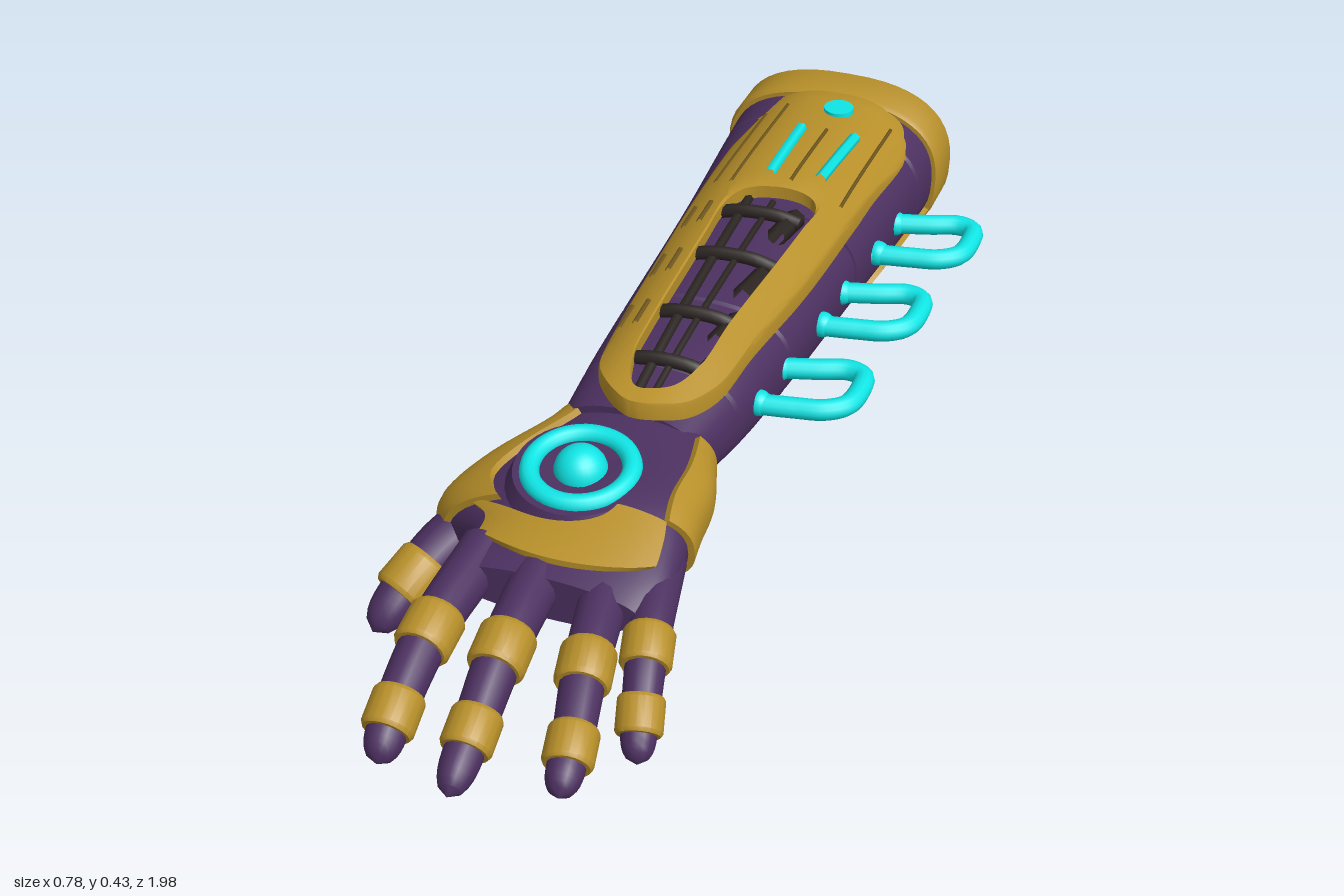
import * as THREE from 'three';
import { toCreasedNormals } from 'three/addons/utils/BufferGeometryUtils.js';

const V = (x, y, z) => new THREE.Vector3(x, y, z);
const mat = (color) => new THREE.MeshStandardMaterial({ color, side: THREE.DoubleSide });
const TAU = Math.PI * 2;

// Smoothly interpolates rows of numbers keyed by their first entry
function sample(rows, k) {
  const n = rows.length;
  let i = 0;
  while (i < n - 2 && k > rows[i + 1][0]) i++;
  const a = rows[i], b = rows[i + 1], h = b[0] - a[0];
  const p = rows[Math.max(i - 1, 0)], q = rows[Math.min(i + 2, n - 1)];
  const t = Math.min(Math.max((k - a[0]) / h, 0), 1), t2 = t * t, t3 = t2 * t;
  return a.map((v, c) => {
    const m0 = (b[c] - p[c]) / (b[0] - p[0]) * h, m1 = (q[c] - v) / (q[0] - a[0]) * h;
    return (2 * t3 - 3 * t2 + 1) * v + (t3 - 2 * t2 + t) * m0 + (3 * t2 - 2 * t3) * b[c] + (t3 - t2) * m1;
  });
}

// Skins a list of equal-length point rows
function loft(rows, closed = true, crease = 0.6) {
  const m = rows[0].length, pos = [], idx = [];
  rows.forEach((r) => r.forEach((p) => pos.push(p.x, p.y, p.z)));
  for (let i = 0; i < rows.length - 1; i++) {
    for (let j = 0; j < (closed ? m : m - 1); j++) {
      const k = (j + 1) % m, a = i * m + j, b = i * m + k;
      idx.push(a, b, a + m, b, b + m, a + m);
    }
  }
  const g = new THREE.BufferGeometry();
  g.setAttribute('position', new THREE.Float32BufferAttribute(pos, 3));
  g.setIndex(idx);
  return toCreasedNormals(g, crease);
}

// Sleeve sections: z, centre x, half width, centre y, half height
const SLEEVE = [[-0.985, 0.022, 0.217, 0.257, 0.15], [-0.88, 0.02, 0.218, 0.256, 0.148],
  [-0.5, 0.012, 0.193, 0.25, 0.128], [0, -0.002, 0.163, 0.25, 0.106], [0.2, -0.018, 0.138, 0.243, 0.09]];
function sleevePoint(z, a, off = 0, scale = 1) {
  const [, cx, hx, cy, hy] = sample(SLEEVE, z), c = Math.cos(a), s = Math.sin(a);
  const pw = (v) => Math.sign(v) * Math.abs(v) ** 0.8;
  return V(cx + (hx * scale + off) * pw(c), cy + (hy * scale + off) * pw(s), z);
}

// Hand sections: z, left x, right x, left y, right y, rise, drop
const HAND = [[0.12, -0.15, 0.115, 0.235, 0.25, 0.08, 0.08], [0.2, -0.175, 0.14, 0.225, 0.245, 0.088, 0.085],
  [0.28, -0.265, 0.165, 0.17, 0.24, 0.105, 0.1], [0.36, -0.31, 0.172, 0.135, 0.235, 0.118, 0.095],
  [0.41, -0.285, 0.178, 0.14, 0.23, 0.115, 0.08], [0.47, -0.21, 0.185, 0.185, 0.225, 0.087, 0.07],
  [0.54, -0.198, 0.188, 0.205, 0.215, 0.065, 0.055], [0.6, -0.188, 0.16, 0.215, 0.212, 0.045, 0.042]];
function handPoint(z, a, off = 0, scale = 1) {
  const [, xl, xr, yl, yr, up, dn] = sample(HAND, z), c = Math.cos(a) * scale, s = Math.sin(a);
  const h = ((s > 0 ? up : dn) + off) * Math.abs(s) ** 0.8 * Math.sign(s) * scale;
  return V((xl + xr) / 2 + ((xr - xl) / 2 + off) * c, (yl + yr) / 2 + (yr - yl) / 2 * c + h, z);
}

const ring = (fn, n, ...args) => Array.from({ length: n }, (_, j) => fn(args[0], j / n * TAU, args[1], args[2]));

// Armour patch laid over a body surface, with edges dropping into it
function patch(fn, a0, a1, zRange, off, na = 40, nz = 16) {
  const rows = [];
  for (let i = -1; i <= nz + 1; i++) {
    const row = [];
    for (let j = -1; j <= na + 1; j++) {
      const u = Math.min(Math.max(j / na, 0), 1), v = Math.min(Math.max(i / nz, 0), 1);
      const a = a0 + (a1 - a0) * u, [z0, z1] = zRange(a, u);
      const edge = i < 0 || j < 0 || i > nz || j > na;
      row.push(fn(z0 + (z1 - z0) * v, a, edge ? -0.006 : off));
    }
    rows.push(row);
  }
  return loft(rows, false);
}

// Upper plate sections: z, crest y, centre x, half width, edge drop
const PLATE = [[-0.9, 0.42, 0.03, 0.175, 0.075], [-0.5, 0.43, 0.022, 0.163, 0.07],
  [0, 0.4, 0.005, 0.13, 0.05], [0.22, 0.366, -0.01, 0.11, 0.03]];
function plateY(x, z) {
  const [, top, cx, hw, drop] = sample(PLATE, z);
  return top - drop * Math.abs((x - cx) / hw) ** 2.5;
}

// Tapered round limb along a curve
function limb(curve, radiusAt, n = 26) {
  const rows = [];
  for (let i = 0; i <= n; i++) {
    const t = i / n, p = curve.getPoint(t), T = curve.getTangent(t);
    const S = V(0, 1, 0).cross(T).normalize(), N = T.clone().cross(S), r = radiusAt(t);
    rows.push(Array.from({ length: 16 }, (_, j) => p.clone()
      .addScaledVector(S, Math.cos(j / 16 * TAU) * r).addScaledVector(N, Math.sin(j / 16 * TAU) * r)));
  }
  return loft(rows);
}

export function createModel() {
  const model = new THREE.Group();
  const purple = mat(0x4c3060), gold = mat(0xb8902a), cyan = mat(0x10e6e6), dark = mat(0x2c2522), groove = mat(0x6e561c);
  const add = (name, geo, m, parent = model) => {
    const mesh = new THREE.Mesh(geo, m);
    mesh.name = name;
    parent.add(mesh);
    return mesh;
  };

  // Hollow sleeve with shallow seams
  const rows = [ring(sleevePoint, 48, -0.76, 0, 0), ring(sleevePoint, 48, -0.76, 0, 0.78),
    ring(sleevePoint, 48, -0.9, 0, 0.8), ring(sleevePoint, 48, -0.9, 0, 0.88), ring(sleevePoint, 48, -0.985, 0, 0.93)];
  for (let z = -0.985; z < 0.2; z += 0.0395) rows.push(ring(sleevePoint, 48, z));
  for (const s of [-0.8, -0.47, -0.14, 0.07]) {
    rows.push(ring(sleevePoint, 48, s - 0.006), ring(sleevePoint, 48, s, -0.005), ring(sleevePoint, 48, s + 0.006));
  }
  const outer = rows.splice(5).sort((a, b) => a[0].z - b[0].z);
  add('sleeve', loft([...rows, ...outer, ring(sleevePoint, 48, 0.2, 0, 0)]), purple);

  // Cuff band at the open end
  const cuff = [[-0.975, -0.004], [-0.98, 0.008], [-0.97, 0.013], [-0.89, 0.013], [-0.88, 0.008], [-0.88, -0.004]];
  add('cuff', loft(cuff.map(([z, o]) => ring(sleevePoint, 48, z, o))), gold);

  // Underside plate, rounded at its front end
  add('undersidePlate', patch(sleevePoint, Math.PI * 1.12, Math.PI * 1.88,
    (a, u) => [-0.89, -0.5 - 0.14 * Math.abs(2 * u - 1) ** 4], 0.01), gold);

  // Upper plate: skin from the outer outline to the window outline
  const outline = [[0.115, 0.1], [0.135, -0.05], [0.165, -0.3], [0.185, -0.6], [0.2, -0.82], [0.17, -0.89], [0.03, -0.897],
    [-0.11, -0.885], [-0.138, -0.8], [-0.14, -0.5], [-0.132, -0.25], [-0.122, 0], [-0.1, 0.13], [-0.01, 0.215], [0.07, 0.185]];
  const windowEdge = [[0.075, 0.08], [0.085, -0.05], [0.105, -0.25], [0.115, -0.37], [0.12, -0.45], [0.105, -0.475], [0.03, -0.475],
    [-0.03, -0.45], [-0.05, -0.4], [-0.05, -0.3], [-0.05, -0.2], [-0.05, 0], [-0.045, 0.1], [-0.01, 0.175], [0.045, 0.155]];
  const [oc, wc] = [outline, windowEdge].map((o) => new THREE.CatmullRomCurve3(o.map(([x, z]) => V(x, 0, z)), true));
  const plateRow = (f, dy) => Array.from({ length: 120 }, (_, j) => {
    const p = oc.getPoint(j / 120).lerp(wc.getPoint(j / 120), f);
    return p.setY(plateY(p.x, p.z) + dy);
  });
  const plateRows = [plateRow(0, -0.035), plateRow(0, -0.006)];
  for (let i = 0; i <= 12; i++) plateRows.push(plateRow(0.04 + 0.92 * i / 12, 0));
  plateRows.push(plateRow(1, -0.004), plateRow(1, -0.03), plateRow(0, -0.035));
  add('upperPlate', loft(plateRows), gold);

  // Inlays that follow the plate
  const strip = (name, x0, z0, x1, z1, r, m, dy = 0) => {
    const pts = Array.from({ length: 5 }, (_, i) => {
      const x = x0 + (x1 - x0) * i / 4, z = z0 + (z1 - z0) * i / 4;
      return V(x, plateY(x, z) + dy, z);
    });
    add(name, new THREE.TubeGeometry(new THREE.CatmullRomCurve3(pts), 10, r, 6), m);
  };
  strip('lightStrip', 0.005, -0.71, 0.005, -0.51, 0.012, cyan);
  strip('lightStrip', 0.112, -0.73, 0.1, -0.54, 0.012, cyan);
  for (const [x, z0, z1] of [[-0.1, -0.8, -0.5], [-0.06, -0.82, -0.48], [0.055, -0.72, -0.5], [0.158, -0.83, -0.5]]) {
    strip('plateGroove', x, z0, x - 0.004, z1, 0.004, groove);
  }
  for (const z of [-0.37, -0.2, -0.03]) {
    for (const x of [-0.11, -0.078]) strip('plateSlot', x, z - 0.035, x, z + 0.035, 0.006, groove);
  }
  add('plateLight', new THREE.CylinderGeometry(0.03, 0.03, 0.012, 24), cyan).position.set(0.052, plateY(0.052, -0.81) + 0.002, -0.81);

  // Dark ribs and rails inside the window
  for (const z of [-0.4, -0.25, -0.06, 0.08]) strip('windowRib', -0.06, z, 0.1, z - 0.01, 0.013, dark, -0.022);
  strip('windowRail', -0.02, -0.46, -0.015, 0.15, 0.01, dark, -0.03);
  strip('windowRail', 0.03, -0.46, 0.015, 0.15, 0.007, dark, -0.03);
  for (const z of [-0.4, -0.2, -0.06, 0.07]) strip('windowBlock', 0.085, z - 0.04, 0.07, z + 0.04, 0.02, dark, -0.035);

  // Side loops
  for (const [x, z] of [[0.22, -0.69], [0.195, -0.41], [0.165, -0.125]]) {
    const path = [[-0.03, 0.008], [0.06, -0.018], [0.12, -0.037], [0.15, -0.025], [0.157, 0.02], [0.148, 0.072], [0.115, 0.1], [0.06, 0.113], [-0.03, 0.128]];
    const curve = new THREE.CatmullRomCurve3(path.map(([dx, dz]) => V(x + dx, 0.257, z + dz)));
    add('sideLoop', new THREE.TubeGeometry(curve, 48, 0.02, 12), cyan);
    for (const dz of [0, 0.12]) add('loopSocket', new THREE.SphereGeometry(0.025, 16, 12), cyan).position.set(x - 0.005, 0.257, z + dz);
  }

  // Palm
  const palm = [];
  for (let i = 0; i <= 32; i++) palm.push(ring(handPoint, 48, 0.12 + 0.48 * i / 32));
  palm.push(ring(handPoint, 48, 0.6, 0, 0.7), ring(handPoint, 48, 0.6, 0, 0));
  add('palm', loft(palm), purple);

  // Palm guard around the underside and sides, and the knuckle guard
  add('palmGuard', patch(handPoint, Math.PI * 0.69, Math.PI * 2.2,
    (a, u) => [0.165 + 0.03 * u, 0.43 - 0.02 * Math.sin(u * Math.PI)], 0.012, 64), gold);
  add('knuckleGuard', patch(handPoint, Math.PI * 0.21, Math.PI * 0.79, (a, u) => {
    const dx = handPoint(0.48, a).x + 0.04;
    return [Math.max(0.435, 0.36 + Math.sqrt(Math.max(0, 0.0175 - dx * dx))), 0.57 - 0.05 * (2 * u - 1) ** 2];
  }, 0.012), gold);

  // Glowing emblem on the back of the hand
  const core = new THREE.Group();
  core.name = 'handCore';
  core.position.set(-0.042, 0.308, 0.36);
  core.rotation.x = 0.1;
  model.add(core);
  add('coreBase', new THREE.CylinderGeometry(0.12, 0.135, 0.03, 40), purple, core).position.y = -0.012;
  add('coreRing', new THREE.TorusGeometry(0.09, 0.018, 12, 48).rotateX(Math.PI / 2), cyan, core).position.y = 0.004;
  add('coreDome', new THREE.SphereGeometry(0.048, 24, 16), cyan, core);

  // Digits: path points, base radius, tip radius, positions of the bands
  const digits = [
    ['indexFinger', [[-0.155, 0.222, 0.52], [-0.166, 0.2, 0.73], [-0.165, 0.147, 0.88], [-0.16, 0.105, 0.96]], 0.046, 0.032, [1, 2]],
    ['middleFinger', [[-0.04, 0.23, 0.52], [-0.03, 0.207, 0.74], [-0.025, 0.15, 0.88], [-0.022, 0.105, 0.99]], 0.046, 0.031, [1, 2]],
    ['ringFinger', [[0.07, 0.225, 0.5], [0.11, 0.197, 0.72], [0.138, 0.147, 0.855], [0.15, 0.115, 0.94]], 0.044, 0.03, [1, 2]],
    ['littleFinger', [[0.145, 0.222, 0.45], [0.187, 0.193, 0.637], [0.211, 0.135, 0.735], [0.228, 0.085, 0.795]], 0.04, 0.028, [1, 2]],
    ['thumb', [[-0.22, 0.155, 0.33], [-0.285, 0.118, 0.42], [-0.318, 0.085, 0.485], [-0.357, 0.022, 0.58]], 0.058, 0.036, [2]],
  ];
  const bandProfile = [[0, -1], [0.9, -1], [1, -0.8], [1, 0.8], [0.9, 1], [0, 1]];
  for (const [name, pts, r0, r1, bands] of digits) {
    const curve = new THREE.CatmullRomCurve3(pts.map((p) => V(...p)));
    const taper = (t) => r0 + (r1 - r0) * t;
    const digit = new THREE.Group();
    digit.name = name;
    model.add(digit);
    add(name + 'Body', limb(curve, (t) => taper(t) * Math.sqrt(Math.max(0, 1 - Math.max(0, (t - 0.8) / 0.2) ** 2.6))), purple, digit);
    for (const b of bands) {
      const t = b / 3, r = taper(t) + 0.009, h = r * 0.8;
      const geo = new THREE.LatheGeometry(bandProfile.map(([x, y]) => new THREE.Vector2(x * r, y * h)), 20);
      const band = add(name + 'Band', toCreasedNormals(geo, 0.6), gold, digit);
      band.position.copy(curve.getPoint(t));
      band.quaternion.setFromUnitVectors(V(0, 1, 0), curve.getTangent(t));
    }
  }
  return model;
}
